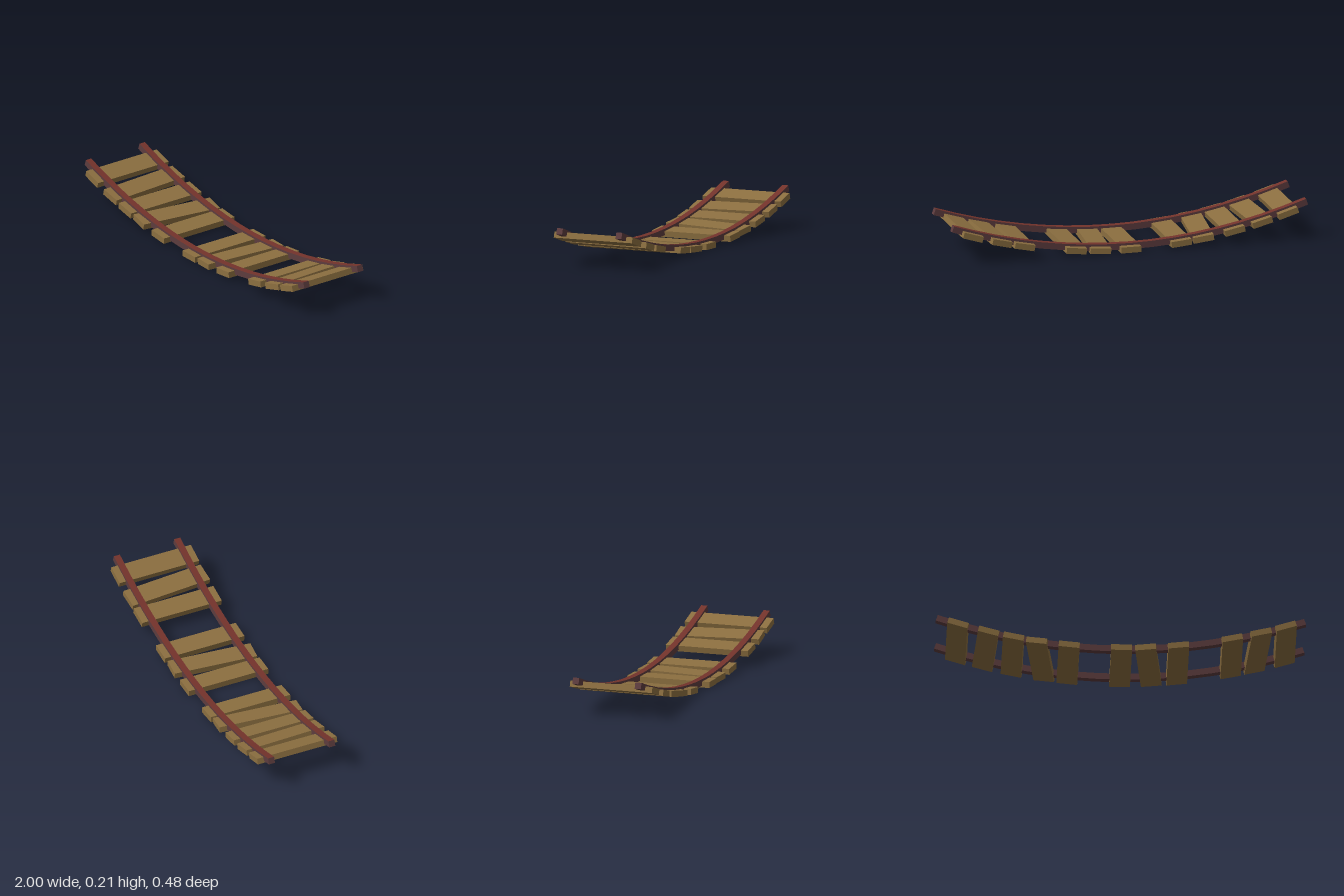
import * as THREE from 'three';

// Sagging curve of the bridge
const sag = (x) => 0.028 + 0.173 * x * x;
const slope = (x) => Math.atan(0.346 * x);

export function createModel() {
  const bridge = new THREE.Group();
  bridge.name = 'plankBridge';

  const wood = new THREE.MeshStandardMaterial({ color: 0x8c6f40 });
  wood.name = 'plankWood';
  const railSide = new THREE.MeshStandardMaterial({ color: 0x5d3c3e });
  railSide.name = 'railSide';
  const railTop = new THREE.MeshStandardMaterial({ color: 0x74332b });
  railTop.name = 'railTop';

  // Square rails: a long box bent along the curve, with a redder top face
  const addRail = (name, z) => {
    const bent = new THREE.BoxGeometry(1.988, 0.035, 0.036, 16, 1, 1);
    const p = bent.attributes.position;
    for (let i = 0; i < p.count; i++) {
      const x = p.getX(i), h = p.getY(i), a = slope(x);
      p.setXY(i, x - h * Math.sin(a), sag(x) + h * Math.cos(a));
    }
    const geometry = bent.toNonIndexed();
    geometry.computeVertexNormals();
    const rail = new THREE.Mesh(geometry,
      [railSide, railSide, railTop, railSide, railSide, railSide]);
    rail.name = name;
    rail.position.z = z;
    bridge.add(rail);
  };
  addRail('frontRail', 0.178);
  addRail('backRail', -0.181);

  // Planks: position along the bridge and skew; gaps mark missing planks
  const planks = [
    [-0.88, 0], [-0.725, 0.045], [-0.58, 0], [-0.43, -0.114], [-0.28, 0],
    [0.003, 0], [0.153, -0.09],
    [0.31, 0], [0.6, 0], [0.742, 0.065], [0.89, 0],
  ];
  const plankGeometry = new THREE.BoxGeometry(0.113, 0.033, 0.473);
  planks.forEach(([x, skew], i) => {
    const plank = new THREE.Mesh(plankGeometry, wood);
    plank.name = `plank${i + 1}`;
    plank.position.set(x, sag(x) - 0.0105, 0);
    plank.rotation.set(0, skew, slope(x), 'ZYX');
    bridge.add(plank);
  });

  return bridge;
}
